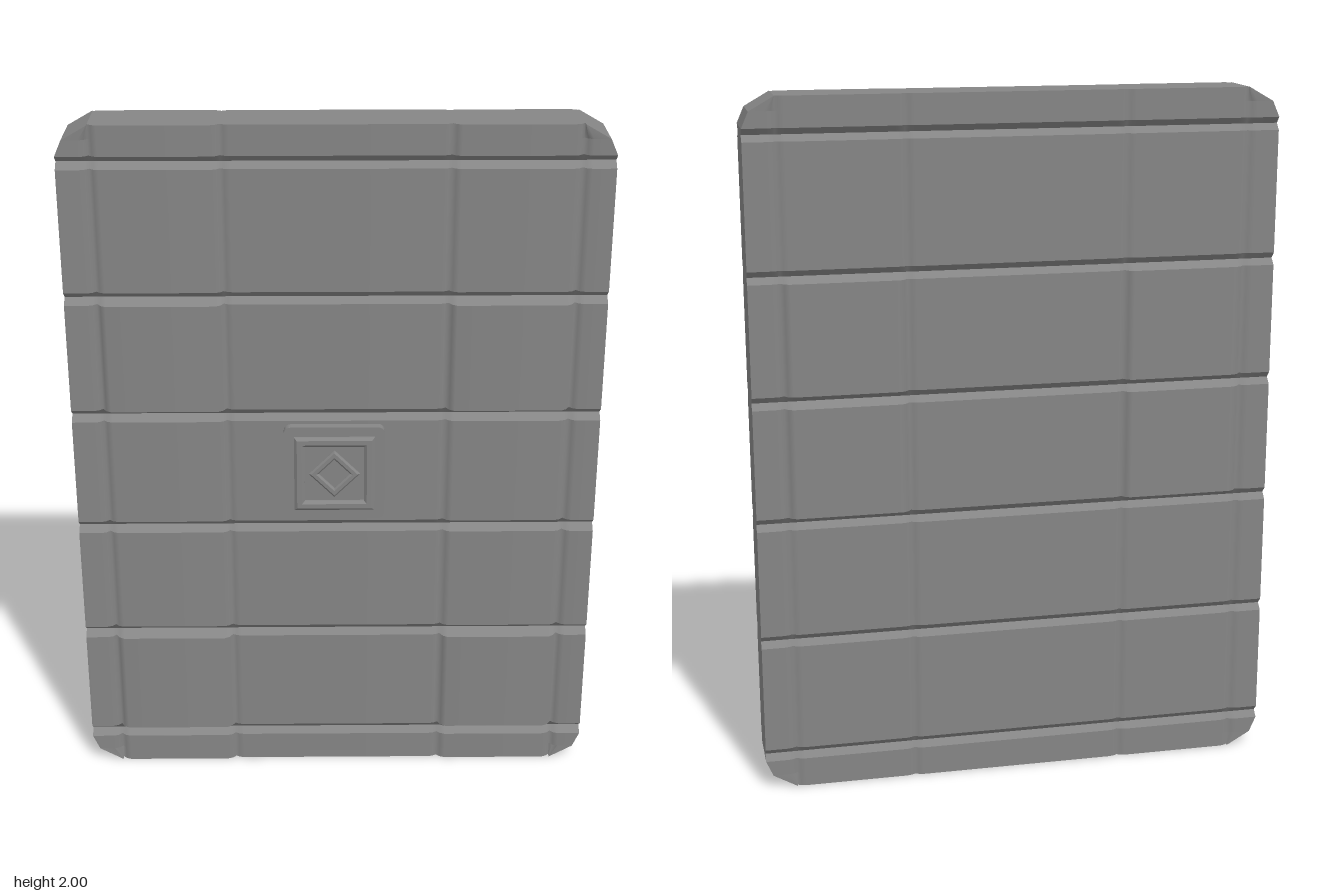
import * as THREE from 'three';

const SEAMS_X = [-0.66, -0.31, 0.31, 0.66];
const SEAMS_Y = [0.104, 0.456, 0.808, 1.161, 1.513, 1.897];
// Groove profiles as [distance from seam, depth fraction]
const ROUNDED = [[0.024, 0], [0.01, 0.35], [0, 1]];
const CHAMFERED = [[0.018, 0], [0, 1]];

// Grid lines along one axis: each seam goes lip, floor, lip.
// Each line knows its panel index and how far it sinks into a groove.
function gridLines(seams, profile, before, after) {
  const lines = before.map((at) => ({ at, panel: 0, sink: 0 }));
  seams.forEach((s, i) => {
    profile.forEach(([d, sink]) => lines.push({ at: s - d, panel: i, sink }));
    profile.slice(0, -1).reverse()
      .forEach(([d, sink]) => lines.push({ at: s + d, panel: i + 1, sink }));
  });
  after.forEach((at) => lines.push({ at, panel: seams.length, sink: 0 }));
  return lines;
}

const COLS = gridLines(SEAMS_X, ROUNDED, [-0.75], [0.75]);
const ROWS = gridLines(SEAMS_Y, CHAMFERED, [0, 0.04], [1.96, 2]);

// Half width of the slab at a height, with clipped corners
function halfWidth(y) {
  const d = Math.min(y, 2 - y);
  if (d < 0.04) return 0.66 + (d / 0.04) * 0.07;
  return d < 0.08 ? 0.73 + ((d - 0.04) / 0.04) * 0.02 : 0.75;
}

// Face heights: some of the inner side panels stand proud
function frontZ(col, row) {
  if (row.sink) return 0.046;
  const inner = col.panel === 1 || col.panel === 3;
  const proud = inner && (row.panel === 1 || row.panel === 4);
  const z = col.panel === 2 ? 0.064 : proud ? 0.08 : 0.07;
  return THREE.MathUtils.lerp(z, 0.055, col.sink);
}

function backZ(col, row) {
  if (row.sink) return -0.071;
  const inner = col.panel === 1 || col.panel === 3;
  const proud = inner && (row.panel === 3 || row.panel === 4);
  return THREE.MathUtils.lerp(proud ? -0.1 : -0.089, -0.08, col.sink);
}

function gridPoint(i, j, zAt) {
  const w = halfWidth(ROWS[j].at);
  const x = THREE.MathUtils.clamp(COLS[i].at, -w, w);
  return new THREE.Vector3(x, ROWS[j].at, zAt(COLS[i], ROWS[j]));
}

function slabGeometry() {
  const pos = [], nor = [];
  const nx = COLS.length - 1, ny = ROWS.length - 1;
  const F = (i, j) => gridPoint(i, j, frontZ), B = (i, j) => gridPoint(i, j, backZ);

  const tri = (pts, normals) => {
    if (new THREE.Triangle(...pts).getArea() < 1e-7) return;
    pts.forEach((p) => pos.push(...p.toArray()));
    normals.forEach((n) => nor.push(...n.toArray()));
  };
  const quad = ([a, b, c, d], [na, nb, nc, nd]) => {
    tri([a, b, c], [na, nb, nc]);
    tri([a, c, d], [na, nc, nd]);
  };
  const facing = ([a, b, c, d]) =>
    c.clone().sub(a).cross(d.clone().sub(b)).normalize();
  const flat = (...pts) => quad(pts, Array(4).fill(facing(pts)));

  // Front and back: smooth across each row, sharp between rows
  const face = (corners) => {
    for (let j = 0; j < ny; j++) {
      const quads = [];
      for (let i = 0; i < nx; i++) quads.push(corners(i, j));
      const weighted = quads.map((q, i) =>
        facing(q).multiplyScalar(Math.sqrt(COLS[i + 1].at - COLS[i].at)));
      const line = [];
      for (let i = 0; i <= nx; i++) {
        const n = new THREE.Vector3();
        if (i > 0) n.add(weighted[i - 1]);
        if (i < nx) n.add(weighted[i]);
        line.push(n.normalize());
      }
      quads.forEach((q, i) => {
        const [l, r] = q[0].x < q[1].x ? [line[i], line[i + 1]] : [line[i + 1], line[i]];
        quad(q, [l, r, r, l]);
      });
    }
  };
  face((i, j) => [F(i, j), F(i + 1, j), F(i + 1, j + 1), F(i, j + 1)]);
  face((i, j) => [B(i + 1, j), B(i, j), B(i, j + 1), B(i + 1, j + 1)]);

  // Side walls
  for (let j = 0; j < ny; j++) {
    flat(F(nx, j), B(nx, j), B(nx, j + 1), F(nx, j + 1));
    flat(B(0, j), F(0, j), F(0, j + 1), B(0, j + 1));
  }
  // Top and bottom walls
  for (let i = 0; i < nx; i++) {
    flat(F(i, ny), F(i + 1, ny), B(i + 1, ny), B(i, ny));
    flat(B(i, 0), B(i + 1, 0), F(i + 1, 0), F(i, 0));
  }
  const geo = new THREE.BufferGeometry();
  geo.setAttribute('position', new THREE.Float32BufferAttribute(pos, 3));
  geo.setAttribute('normal', new THREE.Float32BufferAttribute(nor, 3));
  return geo;
}

// Square outline
function square(Type, h) {
  return new Type().moveTo(-h, -h).lineTo(h, -h).lineTo(h, h).lineTo(-h, h).closePath();
}

// Square outline with rounded corners
function roundedSquare(h, r) {
  const s = new THREE.Shape();
  const c = h - r;
  [[c, c], [-c, c], [-c, -c], [c, -c]].forEach(([x, y], k) =>
    s.absarc(x, y, r, (k * Math.PI) / 2, ((k + 1) * Math.PI) / 2));
  return s.closePath();
}

// Square ring with sloped edges, rising from z = 0 to z = height
function ringGeometry(outer, inner, height, bevel) {
  const shape = square(THREE.Shape, outer - bevel);
  shape.holes.push(square(THREE.Path, inner + bevel));
  return new THREE.ExtrudeGeometry(shape, {
    depth: height - bevel, bevelThickness: bevel, bevelSize: bevel, bevelSegments: 1,
  });
}

export function createModel() {
  const model = new THREE.Group();
  model.name = 'panelledSlab';
  const material = new THREE.MeshStandardMaterial({ color: 0x858585 });
  const add = (parent, name, geometry, z = 0) => {
    const mesh = new THREE.Mesh(geometry, material);
    mesh.name = name;
    mesh.position.z = z;
    parent.add(mesh);
    return mesh;
  };

  add(model, 'slab', slabGeometry());

  // Square badge in the middle of the front
  const badge = new THREE.Group();
  badge.name = 'badge';
  badge.position.set(-0.006, 0.989, 0);
  model.add(badge);
  add(badge, 'badgePlate', new THREE.ExtrudeGeometry(roundedSquare(0.144, 0.02), {
    depth: 0.038, bevelEnabled: false, curveSegments: 4,
  }), 0.05);
  add(badge, 'badgeFrame', ringGeometry(0.115, 0.085, 0.02, 0.008), 0.08);
  add(badge, 'badgeDiamond', ringGeometry(0.052, 0.032, 0.014, 0.005), 0.083)
    .rotation.z = Math.PI / 4;

  return model;
}
